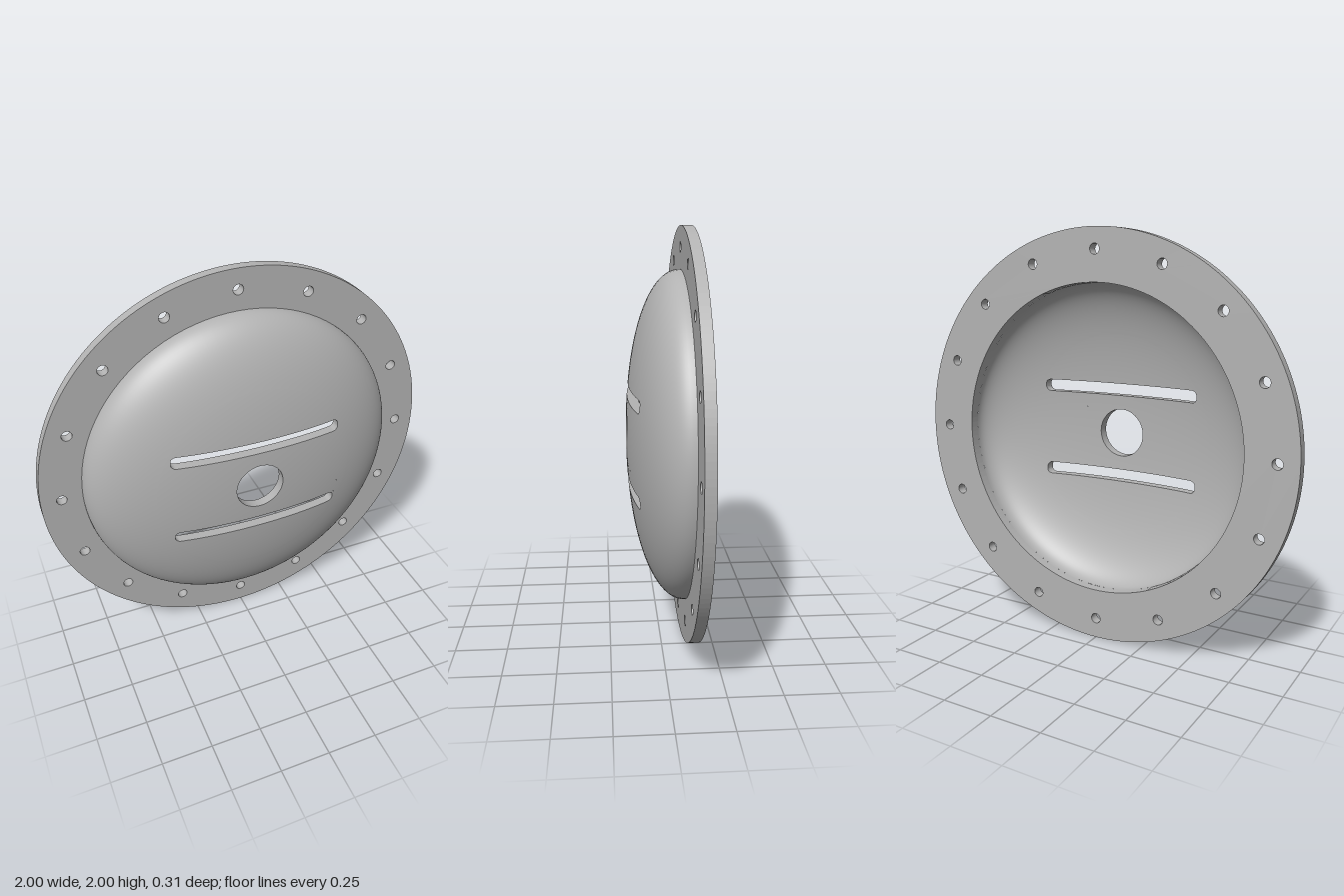
import * as THREE from 'three';

const BASE = -0.105;   // plane where the dome meets the flange
const POWER = 2.1;     // slightly flattened elliptical profile
const CORE = 0.5;      // radius of the slotted middle of the dome
const OUTER = { R: 0.8, h: 0.262 };
const INNER = { R: 0.75, h: 0.212 };
const SLOT = { y: 0.22, halfX: 0.425, halfY: 0.03, r: 0.025 };
const HOLE = 0.12;

const height = (d, r) => BASE + d.h * Math.pow(1 - Math.pow(r / d.R, POWER), 1 / POWER);

function surfaceNormal(d, x, y) {
  const r = Math.hypot(x, y);
  const slope = (height(d, r + 1e-4) - height(d, Math.abs(r - 1e-4))) / 2e-4;
  const k = r > 1e-3 ? -slope / r : 0;
  return new THREE.Vector3(x * k, y * k, 1).normalize();
}

// half width of the opening at height y, for the row whose middle is at mid
function openingHalfWidth(y, mid) {
  if (Math.abs(mid) < HOLE) return Math.sqrt(Math.max(0, HOLE * HOLE - y * y));
  const d = Math.abs(Math.abs(y) - SLOT.y);
  if (Math.abs(Math.abs(mid) - SLOT.y) > SLOT.halfY) return null;
  const over = Math.max(0, d - (SLOT.halfY - SLOT.r));
  return SLOT.halfX - SLOT.r + Math.sqrt(Math.max(0, SLOT.r ** 2 - over ** 2));
}

// middle of the dome, laid in rows that stop at the openings
function coreGeometry(d, inside) {
  const pos = [], nor = [], idx = [];
  const edge = (y) => Math.sqrt(Math.max(0, CORE * CORE - y * y));
  const patch = (y0, y1, a0, b0, a1, b1, cols) => {
    const start = pos.length / 3;
    for (let i = 0; i <= cols; i++) {
      for (const [y, a, b] of [[y0, a0, b0], [y1, a1, b1]]) {
        const x = a + (b - a) * i / cols;
        const n = surfaceNormal(d, x, y).multiplyScalar(inside ? -1 : 1);
        pos.push(x, y, height(d, Math.hypot(x, y)));
        nor.push(n.x, n.y, n.z);
      }
    }
    for (let i = 0; i < cols; i++) {
      const a = start + 2 * i, b = a + 2, c = a + 3, e = a + 1;
      if (inside) idx.push(a, c, b, a, e, c);
      else idx.push(a, b, c, a, c, e);
    }
  };
  const stops = [-CORE, -0.25, -0.19, -HOLE, HOLE, 0.19, 0.25, CORE];
  for (let s = 0; s < stops.length - 1; s++) {
    const mid = (stops[s] + stops[s + 1]) / 2, half = (stops[s + 1] - stops[s]) / 2;
    const rows = half > 0.1 ? 24 : 8;
    for (let i = 0; i < rows; i++) {
      const y0 = mid - half * Math.cos(Math.PI * i / rows);
      const y1 = mid - half * Math.cos(Math.PI * (i + 1) / rows);
      const w0 = openingHalfWidth(y0, mid), w1 = openingHalfWidth(y1, mid);
      const e0 = edge(y0), e1 = edge(y1);
      if (w0 === null) {
        patch(y0, y1, -e0, e0, -e1, e1, 40);
      } else {
        patch(y0, y1, -e0, -w0, -e1, -w1, 16);
        patch(y0, y1, w0, e0, w1, e1, 16);
      }
    }
  }
  const g = new THREE.BufferGeometry();
  g.setAttribute('position', new THREE.Float32BufferAttribute(pos, 3));
  g.setAttribute('normal', new THREE.Float32BufferAttribute(nor, 3));
  g.setIndex(idx);
  return g;
}

// ring of the dome between the core and the flange
function shoulderGeometry(d, inside) {
  const end = Math.acos(Math.pow((CORE - 0.003) / d.R, POWER / 2));
  const pts = [];
  for (let i = 0; i <= 20; i++) {
    const t = end * i / 20;
    pts.push(new THREE.Vector2(d.R * Math.pow(Math.cos(t), 2 / POWER),
      BASE + d.h * Math.pow(Math.sin(t), 2 / POWER)));
  }
  if (inside) pts.reverse();
  return new THREE.LatheGeometry(pts, 96).rotateX(Math.PI / 2);
}

// wall of an opening, joining the outer and inner dome surfaces
function wallGeometry(outline) {
  const pos = [];
  const at = (p, d) => [p.x, p.y, height(d, p.length())];
  outline.forEach((p, i) => {
    const q = outline[(i + 1) % outline.length];
    if (p.distanceTo(q) < 1e-6) return;
    const a = at(p, OUTER), b = at(q, OUTER), c = at(q, INNER), e = at(p, INNER);
    pos.push(...a, ...b, ...c, ...a, ...c, ...e);
  });
  const g = new THREE.BufferGeometry();
  g.setAttribute('position', new THREE.Float32BufferAttribute(pos, 3));
  g.computeVertexNormals();
  return g;
}

function slotOutline(cy) {
  const s = new THREE.Shape(), x = SLOT.halfX - SLOT.r, y = SLOT.halfY - SLOT.r;
  [[x, y], [-x, y], [-x, -y], [x, -y]].forEach(([cx, dy], i) =>
    s.absarc(cx, cy + dy, SLOT.r, i * Math.PI / 2, (i + 1) * Math.PI / 2, false));
  s.closePath();
  return s.getSpacedPoints(240);
}

const circle = (x, y, r) => new THREE.Path().absarc(x, y, r, 0, Math.PI * 2, false);

export function createModel() {
  const metal = new THREE.MeshStandardMaterial({ color: 0xb3b3b3 });
  metal.name = 'plain grey';
  const model = new THREE.Group();
  model.name = 'domedCover';
  const add = (name, geometry) => {
    const m = new THREE.Mesh(geometry, metal);
    m.name = name;
    m.position.y = 1;
    model.add(m);
  };

  // flat ring with sixteen bolt holes
  const ring = new THREE.Shape().absarc(0, 0, 1, 0, Math.PI * 2, false);
  ring.holes.push(circle(0, 0, INNER.R));
  for (let i = 0; i < 16; i++) {
    const a = i * Math.PI / 8;
    ring.holes.push(circle(0.9 * Math.cos(a), 0.9 * Math.sin(a), 0.025));
  }
  add('flange', new THREE.ExtrudeGeometry(ring, { depth: 0.05, bevelEnabled: false, curveSegments: 96 })
    .translate(0, 0, -0.155));

  // dome shell
  add('domeShoulderOutside', shoulderGeometry(OUTER, false));
  add('domeShoulderInside', shoulderGeometry(INNER, true));
  add('domeCoreOutside', coreGeometry(OUTER, false));
  add('domeCoreInside', coreGeometry(INNER, true));

  // walls of the centre hole and the two slots
  add('centreHoleWall', wallGeometry(circle(0, 0, HOLE).getPoints(64)));
  add('upperSlotWall', wallGeometry(slotOutline(SLOT.y)));
  add('lowerSlotWall', wallGeometry(slotOutline(-SLOT.y)));
  return model;
}
